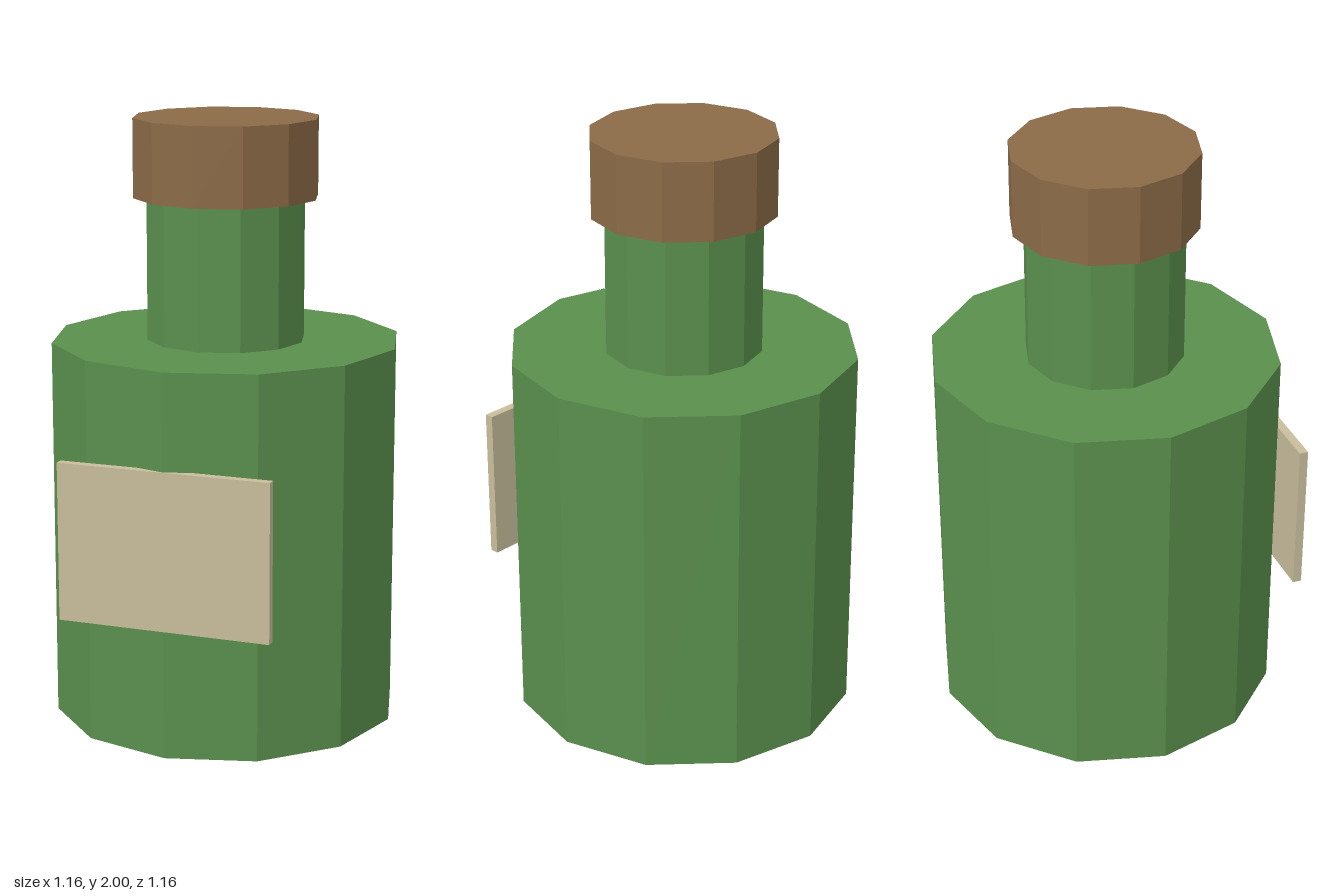
import * as THREE from 'three';

const SIDES = 12;
const AXIS_Z = -0.003;

const material = (name, color) => {
  const m = new THREE.MeshStandardMaterial({ color, flatShading: true });
  m.name = name;
  return m;
};

export function createModel() {
  const group = new THREE.Group();
  group.name = 'bottle';

  const glass = material('green glass', 0x5a8f4d);
  const cork = material('brown cork', 0x8b6a47);
  const paper = material('cream paper', 0xc8bd9c);

  // Adds a faceted cylinder standing between two heights
  const addDrum = (name, radius, bottom, top, mat) => {
    const geometry = new THREE.CylinderGeometry(radius, radius, top - bottom, SIDES);
    const mesh = new THREE.Mesh(geometry, mat);
    mesh.name = name;
    mesh.position.set(0, (bottom + top) / 2, AXIS_Z);
    group.add(mesh);
  };

  addDrum('body', 0.58, 0, 1.27, glass);
  addDrum('neck', 0.263, 1.27, 1.74, glass);
  addDrum('stopper', 0.307, 1.74, 2, cork);

  // Flat label board, just proud of the front edge of the body
  const label = new THREE.Mesh(new THREE.BoxGeometry(0.715, 0.523, 0.03), paper);
  label.name = 'label';
  label.position.set(0, 0.69, 0.567);
  group.add(label);

  return group;
}
